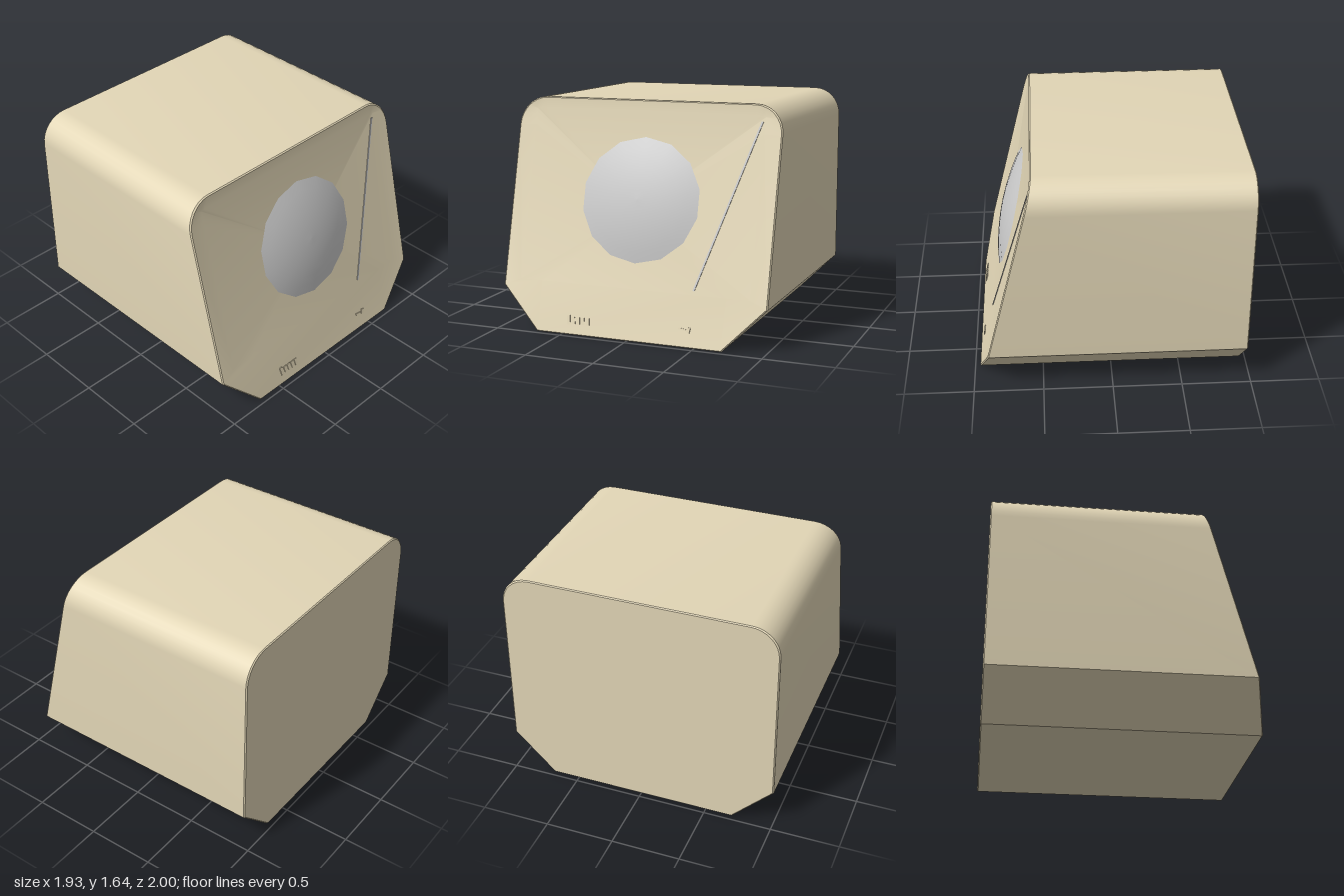
import * as THREE from 'three';
import { toCreasedNormals } from 'three/addons/utils/BufferGeometryUtils.js';

const BACK = -0.965, FRONT = 0.965, SLOPE = 0.2523, H = 1.645;
const beige = new THREE.MeshStandardMaterial({ color: 0xe2d6b6 });
const grey = new THREE.MeshStandardMaterial({ color: 0xcccccc });
const faceX = (y) => FRONT - SLOPE * y;

// Side outline as [z, y]: chamfered at the bottom, rounded at the top
function outline() {
  const pts = [[-0.7, 0], [0.7, 0], [1, 0.3]];
  const r = 0.2, n = 8;
  for (const side of [1, -1]) {
    for (let i = 0; i <= n; i++) {
      const a = ((side > 0 ? i : n - i) / n) * Math.PI / 2;
      pts.push([side * (1 - r + r * Math.cos(a)), H - r + r * Math.sin(a)]);
    }
  }
  pts.push([-1, 0.3]);
  return pts;
}

// Casing: cross-section loops from the flat back to the sloping, shallowly recessed face
function casingGeometry() {
  const base = outline(), e = 0.008;
  const small = base.map(([z, y]) => [z * (1 - e), H / 2 + (y - H / 2) * (1 - e)]);
  const panel = base.map(([z, y]) => [
    THREE.MathUtils.clamp(z, -0.87, 0.87), THREE.MathUtils.clamp(y, 0.35, 1.56)]);
  const loop = (pts, fx) => pts.map(([z, y]) => new THREE.Vector3(fx(y), y, z));
  const loops = [
    loop(small, () => BACK),
    loop(base, () => BACK + e),
    loop(base, (y) => faceX(y) - e),
    loop(small, faceX),
    loop(panel, (y) => faceX(y) - 0.012),
  ];
  const n = base.length, pos = [];
  const tri = (...vs) => vs.forEach((v) => pos.push(v.x, v.y, v.z));
  for (let k = 0; k < loops.length - 1; k++) {
    for (let i = 0; i < n; i++) {
      const j = (i + 1) % n, p = loops[k], q = loops[k + 1];
      tri(p[i], q[i], p[j]);
      tri(p[j], q[i], q[j]);
    }
  }
  const backMid = new THREE.Vector3(BACK, 0.9, 0);
  const frontMid = new THREE.Vector3(faceX(0.9) - 0.012, 0.9, 0);
  const last = loops[loops.length - 1];
  for (let i = 0; i < n; i++) {
    const j = (i + 1) % n;
    tri(backMid, loops[0][i], loops[0][j]);
    tri(frontMid, last[j], last[i]);
  }
  const g = new THREE.BufferGeometry();
  g.setAttribute('position', new THREE.Float32BufferAttribute(pos, 3));
  return toCreasedNormals(g, 0.5);
}

// Domed screen: shallow spherical cap with a 14-sided rim
function screenGeometry() {
  const rim = 0.447, h = 0.06, R = (rim * rim + h * h) / (2 * h), pts = [];
  for (let i = 0; i <= 6; i++) {
    const r = rim * (1 - i / 6);
    pts.push(new THREE.Vector2(r, Math.sqrt(R * R - r * r) - (R - h)));
  }
  return new THREE.LatheGeometry(pts, 14).rotateX(Math.PI / 2);
}

export function createModel() {
  const model = new THREE.Group();
  const add = (parent, name, geometry, material) => {
    const mesh = new THREE.Mesh(geometry, material);
    mesh.name = name;
    parent.add(mesh);
    return mesh;
  };
  add(model, 'casing', casingGeometry(), beige);

  // Details lie in the plane of the face: local x = -z, y up the slope, z outward
  const face = new THREE.Group();
  face.name = 'faceDetails';
  const up = new THREE.Vector3(-SLOPE, 1, 0).normalize();
  const across = new THREE.Vector3(0, 0, -1);
  face.quaternion.setFromRotationMatrix(
    new THREE.Matrix4().makeBasis(across, up, across.clone().cross(up)));
  face.position.set(FRONT, 0, 0);
  model.add(face);
  const stretch = Math.hypot(1, SLOPE);
  const place = (mesh, z, y, depth) => mesh.position.set(-z, y * stretch, depth);

  place(add(face, 'screen', screenGeometry(), grey), -0.005, 0.96, -0.012);

  // Slanted thin strip
  const dx = 0.39, dy = 1.15 * stretch;
  const strip = add(face, 'slantedStrip',
    new THREE.BoxGeometry(0.014, Math.hypot(dx, dy), 0.008), grey);
  strip.rotation.z = -Math.atan2(dx, dy);
  place(strip, -0.655, 0.955, -0.011);

  // Row of five buttons
  for (let i = 0; i < 5; i++) {
    const button = add(face, 'button', new THREE.BoxGeometry(0.024, i ? 0.05 : 0.066, 0.012), beige);
    button.rotation.z = 0.15;
    place(button, 0.455 - i * 0.037, 0.1, -0.003);
  }

  // Small knob with its pointer
  const knob = add(face, 'knob', new THREE.BoxGeometry(0.024, 0.036, 0.012), beige);
  knob.rotation.z = -0.2;
  place(knob, -0.452, 0.12, -0.003);
  const pointer = add(face, 'pointer', new THREE.BoxGeometry(0.055, 0.012, 0.01), beige);
  pointer.rotation.z = -0.15;
  place(pointer, -0.405, 0.122, -0.003);

  return model;
}
